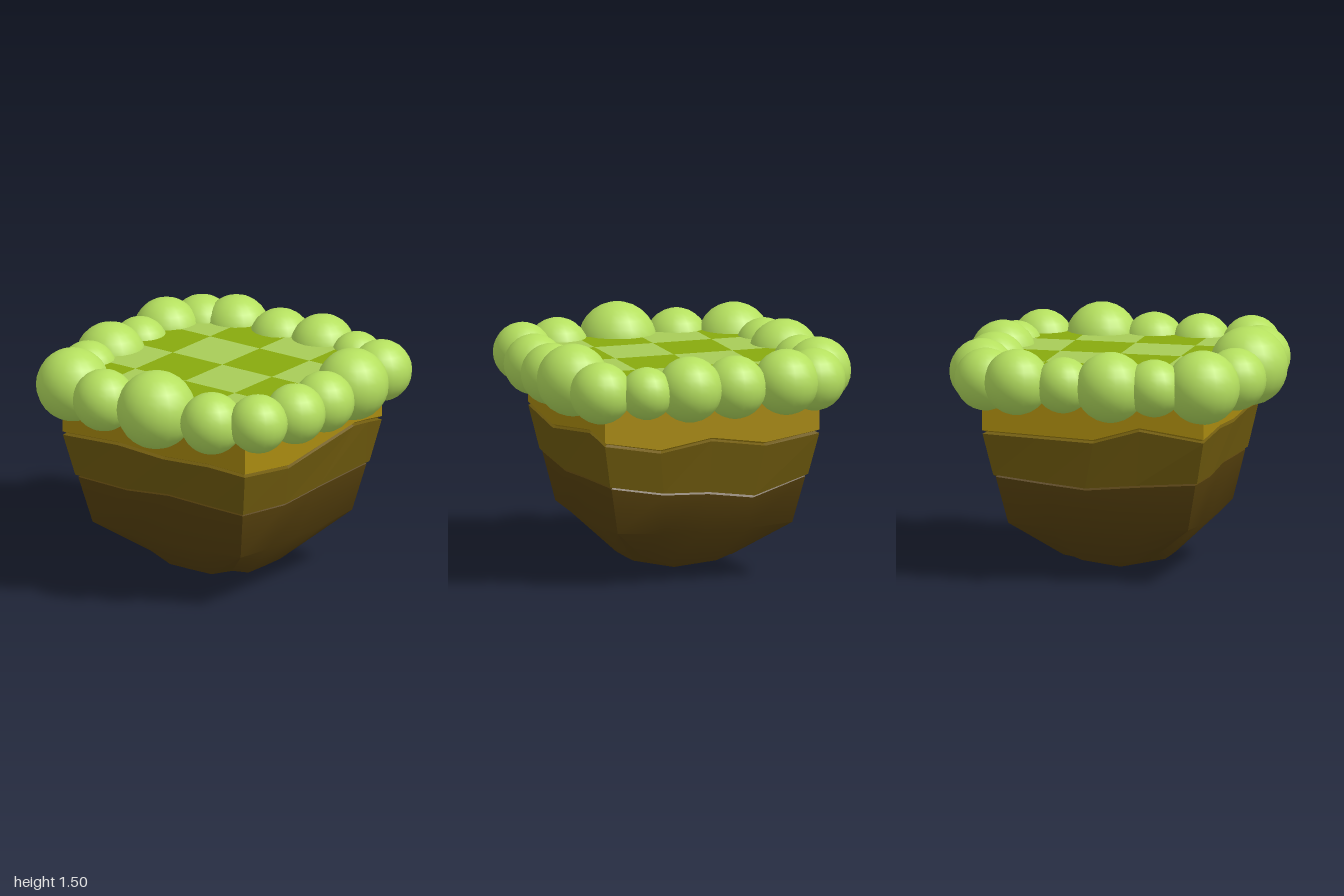
import * as THREE from 'three';
import { toCreasedNormals } from 'three/addons/utils/BufferGeometryUtils.js';

const CX = 0.02, CZ = -0.015, TOP = 1.31;

const mat = (color, extra = {}) => new THREE.MeshStandardMaterial({ color, ...extra });

// Zigzag heights per side as [t, y], t running 0..1 along the side:
// front (left to right), right, back, left
const upperZigzag = [
  [[0, 0.94], [0.32, 0.88], [0.8, 0.97], [0.9, 0.955]],
  [[0, 0.935], [0.26, 0.87], [0.5, 0.925], [0.75, 0.875]],
  [[0, 0.93], [0.25, 0.915], [0.5, 0.9], [0.71, 0.985]],
  [[0, 0.93], [0.3, 0.95], [0.55, 0.93], [0.8, 0.95]],
];
const lowerZigzag = [
  [[0, 0.655], [0.34, 0.61], [0.6, 0.63], [0.97, 0.65]],
  [[0, 0.65], [0.27, 0.59], [0.5, 0.58], [0.73, 0.54]],
  [[0, 0.65], [0.25, 0.615], [0.45, 0.59], [0.7, 0.62]],
  [[0, 0.65], [0.3, 0.64], [0.55, 0.67], [0.8, 0.66]],
];
// Level side with evenly spread points; corners may be lifted
const level = (y, lift = 0) =>
  Array.from({ length: 4 }, () => [0, 0.25, 0.5, 0.75].map((t) => [t, t ? y : y + lift]));

// Square ring of points, counter-clockwise from above; round pulls in the corners
function ring(half, sides, dy = 0, round = 0) {
  const pts = [];
  sides.forEach((side, s) => {
    for (const [t, y] of side) {
      const u = 2 * t - 1;
      const k = half * (1 - round * u * u);
      const p = new THREE.Vector3(k * u, y + dy, k);
      p.applyAxisAngle(new THREE.Vector3(0, 1, 0), s * Math.PI / 2);
      pts.push(p.add(new THREE.Vector3(CX, 0, CZ)));
    }
  });
  return pts;
}

// Skin through rings listed from bottom to top
function loft(rings) {
  const pos = [], index = [], n = rings[0].length;
  rings.forEach((r) => r.forEach((p) => pos.push(p.x, p.y, p.z)));
  for (let r = 0; r < rings.length - 1; r++) {
    for (let i = 0; i < n; i++) {
      const a = r * n + i, b = r * n + (i + 1) % n;
      index.push(a, b, b + n, a, b + n, a + n);
    }
  }
  const g = new THREE.BufferGeometry();
  g.setAttribute('position', new THREE.Float32BufferAttribute(pos, 3));
  g.setIndex(index);
  return g;
}

export function createModel() {
  const model = new THREE.Group();
  model.name = 'floatingGrassIsland';
  const add = (name, geometry, material, parent = model) => {
    const mesh = new THREE.Mesh(geometry, material);
    mesh.name = name;
    parent.add(mesh);
    return mesh;
  };

  // Three soil layers, each with a small ledge along its zigzag edge
  add('topSoil', loft([
    ring(0.665, upperZigzag, -0.012),
    ring(0.69, upperZigzag),
    ring(0.69, level(TOP - 0.01)),
    ring(0, level(TOP - 0.01)),
  ]), mat(0xa98a10, { flatShading: true, side: THREE.DoubleSide }));

  add('middleSoil', loft([
    ring(0.605, lowerZigzag, 0.005),
    ring(0.635, lowerZigzag),
    ring(0.688, upperZigzag, -0.022),
    ring(0.66, upperZigzag, -0.008),
  ]), mat(0x705b0e, { flatShading: true, side: THREE.DoubleSide }));

  const base = loft([
    ring(0, level(0)),
    ring(0.32, level(0.09, 0.05), 0, 0.04),
    ring(0.56, level(0.325, 0.02)),
    ring(0.622, lowerZigzag, -0.015),
    ring(0.6, lowerZigzag, 0.01),
  ]);
  add('bottomSoil', toCreasedNormals(base, 0.8), mat(0x58420d, { side: THREE.DoubleSide }));

  // Checkered lawn
  const lawn = new THREE.Group();
  lawn.name = 'lawn';
  model.add(lawn);
  const grass = [mat(0x88aa0e), mat(0xa8cd58)];
  const edges = [-0.688, -0.375, 0, 0.375, 0.688];
  for (let i = 0; i < 4; i++) {
    for (let j = 0; j < 4; j++) {
      const w = edges[i + 1] - edges[i], d = edges[j + 1] - edges[j];
      const tile = add('lawnTile', new THREE.BoxGeometry(w, 0.02, d), grass[(i + j) % 2], lawn);
      tile.position.set(CX + edges[i] + w / 2, TOP - 0.01, CZ + edges[j] + d / 2);
    }
  }

  // Bushes around the rim: x, y, z, radius
  const bushes = [
    [-0.65, 1.24, -0.64, 0.225], [-0.37, 1.24, -0.735, 0.175], [-0.105, 1.24, -0.765, 0.215],
    [0.19, 1.24, -0.765, 0.17], [0.475, 1.25, -0.78, 0.2], [0.695, 1.24, -0.675, 0.19],
    [0.767, 1.25, -0.47, 0.2], [0.77, 1.24, -0.14, 0.192], [0.795, 1.25, 0.16, 0.2],
    [0.78, 1.24, 0.43, 0.16], [0.68, 1.24, 0.69, 0.188], [0.325, 1.26, 0.742, 0.22],
    [0.005, 1.24, 0.765, 0.187], [-0.29, 1.245, 0.77, 0.185], [-0.61, 1.26, 0.73, 0.18],
    [-0.725, 1.24, 0.465, 0.19], [-0.757, 1.255, 0.07, 0.24], [-0.77, 1.24, -0.315, 0.19],
  ];
  const rim = new THREE.Group();
  rim.name = 'bushRim';
  model.add(rim);
  const ball = new THREE.SphereGeometry(1, 20, 14);
  const leaf = mat(0xb5e05f);
  bushes.forEach(([x, y, z, r], i) => {
    const bush = add('bush', ball, leaf, rim);
    bush.position.set(x, y, z);
    bush.scale.setScalar(r);
    bush.rotation.y = i * 1.3;
  });

  return model;
}
